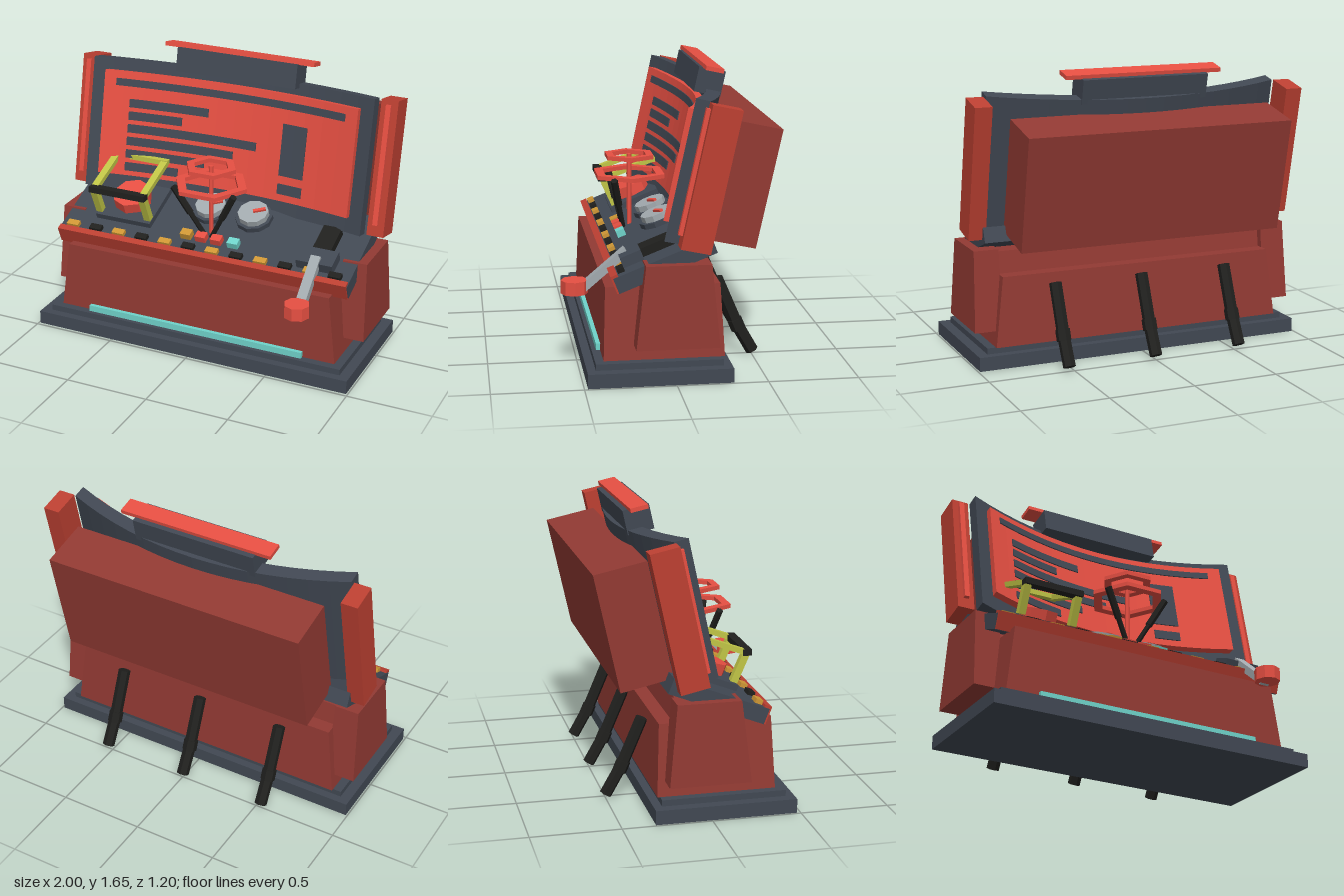
import * as THREE from 'three';

const mat = (name, color) => Object.assign(new THREE.MeshStandardMaterial({ color }), { name });

export function createModel() {
  const darkRed = mat('dark red', 0x923a33);
  const midRed = mat('mid red', 0xbd4032);
  const brightRed = mat('bright red', 0xe64f42);
  const slate = mat('slate', 0x414853);
  const black = mat('black', 0x20201e);
  const teal = mat('teal', 0x6fd3ca);
  const yellow = mat('yellow green', 0xc0c546);
  const gold = mat('gold', 0xcf9735);
  const silver = mat('silver', 0xa2aaae);

  const model = new THREE.Group();
  model.name = 'controlConsole';

  const add = (parent, name, geo, material, x = 0, y = 0, z = 0) => {
    const m = new THREE.Mesh(geo, material);
    m.name = name;
    m.position.set(x, y, z);
    parent.add(m);
    return m;
  };
  // box given by its limits
  const span = (parent, name, material, x0, x1, y0, y1, z0, z1) =>
    add(parent, name, new THREE.BoxGeometry(x1 - x0, y1 - y0, z1 - z0), material,
      (x0 + x1) / 2, (y0 + y1) / 2, (z0 + z1) / 2);
  // tapered block: bottom and top rectangles [x0, x1, z0, z1]
  const taper = (name, material, y0, y1, bottom, top) => {
    const g = new THREE.BoxGeometry(1, 1, 1);
    const p = g.attributes.position;
    for (let i = 0; i < p.count; i++) {
      const r = p.getY(i) > 0 ? top : bottom;
      p.setXYZ(i, p.getX(i) > 0 ? r[1] : r[0], p.getY(i) > 0 ? y1 : y0, p.getZ(i) > 0 ? r[3] : r[2]);
    }
    g.computeVertexNormals();
    return add(model, name, g, material);
  };
  // faceted prism with an upright axis
  const prism = (parent, name, material, r, h, sides, x, y, z) => {
    const g = new THREE.CylinderGeometry(r, r, h, sides).toNonIndexed();
    g.computeVertexNormals();
    return add(parent, name, g, material, x, y, z);
  };
  // straight bar between two points: box of w x d, or a faceted rod when d is omitted
  const bar = (parent, name, material, a, b, w, d) => {
    const va = new THREE.Vector3(...a), vb = new THREE.Vector3(...b);
    const len = va.distanceTo(vb);
    let g = d ? new THREE.BoxGeometry(w, len, d) : new THREE.CylinderGeometry(w, w, len, 6).toNonIndexed();
    g.computeVertexNormals();
    const m = add(parent, name, g, material);
    m.position.copy(va).lerp(vb, 0.5);
    m.quaternion.setFromUnitVectors(new THREE.Vector3(0, 1, 0), vb.sub(va).normalize());
    return m;
  };

  // --- plinth and body ---
  span(model, 'plinth', slate, -0.99, 0.99, 0, 0.08, -0.312, 0.48);
  span(model, 'plinthStep', slate, -0.93, 0.93, 0.08, 0.115, -0.265, 0.432);
  taper('body', darkRed, 0.115, 0.515, [-0.88, 0.88, -0.28, 0.385], [-0.83, 0.83, -0.26, 0.37]);
  taper('deckSupport', darkRed, 0.5, 0.64, [-0.82, 0.82, -0.18, 0.16], [-0.82, 0.82, -0.16, 0.09]);
  span(model, 'glowStrip', teal, -0.685, 0.685, 0.115, 0.152, 0.38, 0.408);
  for (const s of [-1, 1]) {
    const xs = (a, b) => (s > 0 ? [a, b] : [-b, -a]);
    taper('sidePod', darkRed, 0.2, 0.66, [...xs(0.82, 0.99), -0.235, 0.22], [...xs(0.83, 0.975), -0.19, 0.165]);
  }

  // --- rear hoses ---
  for (const x of [-0.53, 0, 0.53]) {
    bar(model, 'rearHoseUpper', black, [x, 0.46, -0.29], [x, 0.18, -0.41], 0.036);
    bar(model, 'rearHoseLower', black, [x, 0.2, -0.4], [x, 0.025, -0.5], 0.036);
    bar(model, 'rearHoseJoint', black, [x, 0.215, -0.395], [x, 0.155, -0.42], 0.042);
  }

  // --- tilted display ---
  const display = new THREE.Group();
  display.name = 'display';
  display.position.set(0, 1.12, -0.18);
  display.rotation.x = -0.214;
  model.add(display);
  // plate bent into a concave arc; z1 is the front depth at the frame's ends
  const curved = (name, material, x0, x1, y0, y1, z0, z1) => {
    const n = Math.max(2, Math.round((x1 - x0) * 9));
    let g = new THREE.BoxGeometry(x1 - x0, y1 - y0, z1 - z0, n, 1, 1);
    g.translate((x0 + x1) / 2, (y0 + y1) / 2, (z0 + z1) / 2);
    const p = g.attributes.position;
    for (let i = 0; i < p.count; i++) {
      p.setZ(i, p.getZ(i) - 0.175 * (1 - (p.getX(i) / 0.885) ** 2));
    }
    g = g.toNonIndexed();
    g.computeVertexNormals();
    return add(display, name, g, material);
  };
  curved('screenFrame', slate, -0.885, 0.885, -0.39, 0.396, 0.075, 0.157);
  curved('screen', brightRed, -0.8, 0.8, -0.298, 0.328, 0.15, 0.202);
  // screen markings: [x0, x1, centre height, height]
  for (const [x0, x1, y, h] of [
    [-0.73, 0.72, 0.264, 0.043],
    [-0.645, -0.165, 0.143, 0.05], [-0.645, -0.325, 0.067, 0.05], [-0.645, 0.155, -0.01, 0.05],
    [-0.645, 0.01, -0.087, 0.05], [-0.645, -0.165, -0.164, 0.05], [-0.645, -0.325, -0.243, 0.05],
    [0.32, 0.48, 0.005, 0.305], [0.32, 0.48, -0.226, 0.06],
  ]) curved('screenMarking', slate, x0, x1, y - h / 2, y + h / 2, 0.2, 0.209);
  span(display, 'rearHousing', darkRed, -0.79, 0.79, -0.36, 0.31, -0.365, -0.066);
  span(display, 'topBox', slate, -0.38, 0.38, 0.37, 0.511, -0.073, 0.08);
  span(display, 'topCap', brightRed, -0.472, 0.472, 0.508, 0.532, -0.044, 0.058);
  for (const s of [-1, 1]) {
    add(display, 'sideColumn', new THREE.BoxGeometry(0.1, 0.785, 0.165), midRed, s * 0.95, 0, 0);
    add(display, 'columnStrip', new THREE.BoxGeometry(0.03, 0.69, 0.025), brightRed, s * 0.95, 0.02, 0.093);
  }

  // --- sloped control deck (local y = 0 is its top) ---
  const deck = new THREE.Group();
  deck.name = 'deck';
  deck.position.set(0, 0.689, 0.07);
  deck.rotation.x = 0.375;
  model.add(deck);
  span(deck, 'deckSlab', slate, -0.92, 0.92, -0.09, 0, -0.285, 0.285);
  span(deck, 'frontTrim', midRed, -0.917, 0.917, -0.088, 0.015, 0.255, 0.295);
  for (let i = 0; i < 12; i++) {
    add(deck, 'edgeKey', new THREE.BoxGeometry(0.075, 0.024, 0.04), i % 2 ? black : gold,
      -0.84 + 0.152 * i, 0.012, 0.23);
  }
  [[-0.125, gold], [-0.03, brightRed], [0.068, brightRed], [0.175, teal]].forEach(([x, m]) =>
    add(deck, 'pushButton', new THREE.BoxGeometry(0.065, 0.04, 0.05), m, x, 0.02, 0.145));

  // dials with pointers
  for (const x of [-0.065, 0.21]) {
    prism(deck, 'dialBase', slate, 0.112, 0.03, 10, x, 0.015, -0.085);
    prism(deck, 'dial', silver, 0.092, 0.04, 10, x, 0.045, -0.085);
    const pointer = add(deck, 'dialPointer', new THREE.BoxGeometry(0.075, 0.015, 0.02), brightRed,
      x + 0.035, 0.07, -0.1);
    pointer.rotation.y = 0.5;
  }

  // left station: plate, large button and guard frame
  span(deck, 'stationPlate', slate, -0.73, -0.37, 0, 0.035, -0.17, 0.14);
  prism(deck, 'largeButton', brightRed, 0.115, 0.07, 8, -0.55, 0.065, -0.02);
  for (const x of [-0.71, -0.39]) {
    bar(model, 'guardLeg', yellow, [x, 0.69, 0.185], [x, 0.865, 0.262], 0.042, 0.04);
    bar(model, 'guardArm', yellow, [x, 0.85, 0.265], [x, 0.965, -0.045], 0.042, 0.03);
  }
  bar(model, 'guardRearBar', yellow, [-0.73, 0.965, -0.045], [-0.37, 0.965, -0.045], 0.03, 0.035);
  bar(model, 'guardGrip', black, [-0.732, 0.855, 0.26], [-0.368, 0.855, 0.26], 0.036, 0.05);

  // centre post with two hexagonal rings
  const hexRing = (name, outer, inner, y) => {
    const hex = (r, Type) => {
      const pts = [];
      for (let i = 0; i < 6; i++) {
        pts.push(new THREE.Vector2(r * Math.cos(i * Math.PI / 3), r * Math.sin(i * Math.PI / 3)));
      }
      return new Type(pts);
    };
    const shape = hex(outer, THREE.Shape);
    shape.holes.push(hex(inner, THREE.Path));
    const g = new THREE.ExtrudeGeometry(shape, { depth: 0.024, bevelEnabled: false });
    g.rotateX(-Math.PI / 2);
    add(model, name, g, brightRed, 0, y - 0.012, 0.14);
  };
  hexRing('lowerRing', 0.225, 0.17, 0.963);
  hexRing('upperRing', 0.155, 0.108, 1.07);
  bar(model, 'centrePost', brightRed, [0, 0.64, 0.14], [0, 1.08, 0.14], 0.014);
  for (const s of [-1, 1]) {
    bar(model, 'stick', black, [s * 0.02, 0.65, 0.18], [s * 0.19, 0.96, 0.248], 0.015);
    bar(model, 'stickGrip', black, [s * 0.1, 0.796, 0.212], [s * 0.19, 0.96, 0.248], 0.021);
  }

  // right lever
  span(deck, 'leverBase', slate, 0.59, 0.81, 0, 0.06, 0.09, 0.21);
  span(deck, 'leverSlot', black, 0.647, 0.757, 0, 0.05, -0.1, 0.1);
  bar(model, 'leverArm', silver, [0.7, 0.685, 0.24], [0.7, 0.46, 0.505], 0.058, 0.045);
  prism(model, 'leverKnob', brightRed, 0.074, 0.075, 8, 0.7, 0.49, 0.525);

  return model;
}
